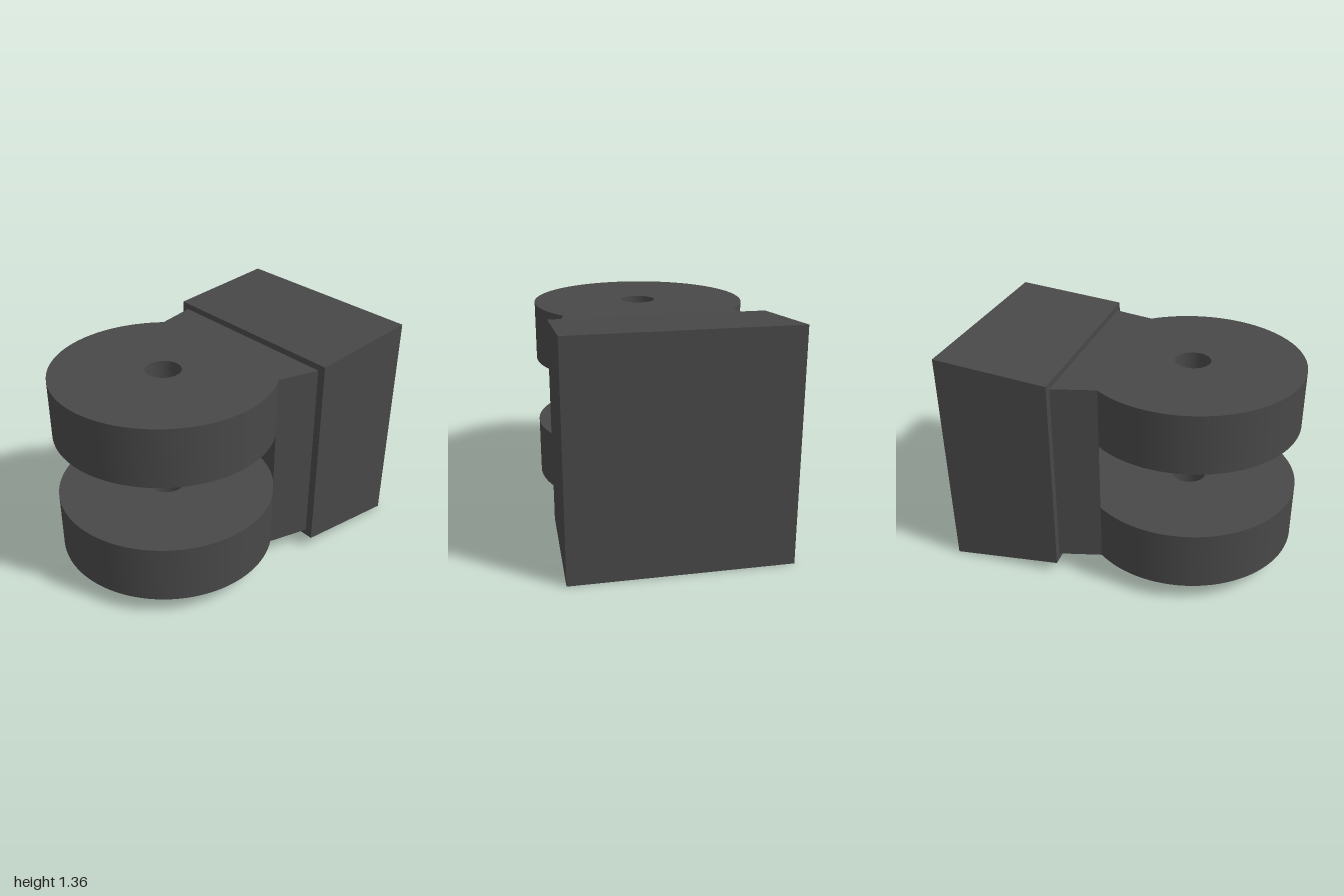
import * as THREE from 'three';
import { toCreasedNormals } from 'three/addons/utils/BufferGeometryUtils.js';

const R = 0.66;            // lug radius
const CZ = 0.335;          // z of the pin axis
const NECK_X = 0.52;       // half width where neck meets the lug
const BACK_X = 0.587;      // half width where neck meets the block
const BACK = 0.335;        // neck end, slightly sunk into the block
const BLOCK_FRONT = -0.325;
const A = Math.acos(NECK_X / R);

const material = new THREE.MeshStandardMaterial({ color: 0x484848 });

// Extrudes a plan shape (shape y = -z) upward from y0 to y1
function plate(name, shape, y0, y1) {
  const extruded = new THREE.ExtrudeGeometry(shape, { depth: y1 - y0, bevelEnabled: false, curveSegments: 64 });
  extruded.rotateX(-Math.PI / 2).translate(0, y0, 0);
  const mesh = new THREE.Mesh(toCreasedNormals(extruded, 0.5), material);
  mesh.name = name;
  return mesh;
}

// Plan outline of neck plus an arc, either round the front or scooped behind the slot
function plan(scooped) {
  const s = new THREE.Shape();
  s.moveTo(-BACK_X, BACK);
  s.lineTo(BACK_X, BACK);
  s.lineTo(NECK_X, -CZ + R * Math.sin(A));
  s.absarc(0, -CZ, R, A, Math.PI - A, !scooped);
  s.closePath();
  return s;
}

export function createModel() {
  const group = new THREE.Group();
  group.name = 'clevisBracket';

  // Two round lugs with a pin hole
  const lug = plan(false);
  lug.holes.push(new THREE.Path().absarc(0, -CZ, 0.106, 0, Math.PI * 2, false));
  group.add(plate('lowerLug', lug, 0.108, 0.467));
  group.add(plate('upperLug', lug, 0.89, 1.25));

  // Web between the lugs, with a concave front
  group.add(plate('neckWeb', plan(true), 0.467, 0.89));

  // Mounting block, taller at the back
  const block = new THREE.BoxGeometry(1.266, 1.355, 1 + BLOCK_FRONT);
  block.translate(0, 0.6775, (BLOCK_FRONT - 1) / 2);
  const p = block.attributes.position;
  for (let i = 0; i < p.count; i++) {
    if (p.getZ(i) > -0.6) p.setY(i, p.getY(i) > 0.5 ? 1.287 : 0.07);
  }
  block.computeVertexNormals();
  const blockMesh = new THREE.Mesh(block, material);
  blockMesh.name = 'mountingBlock';
  group.add(blockMesh);

  return group;
}
